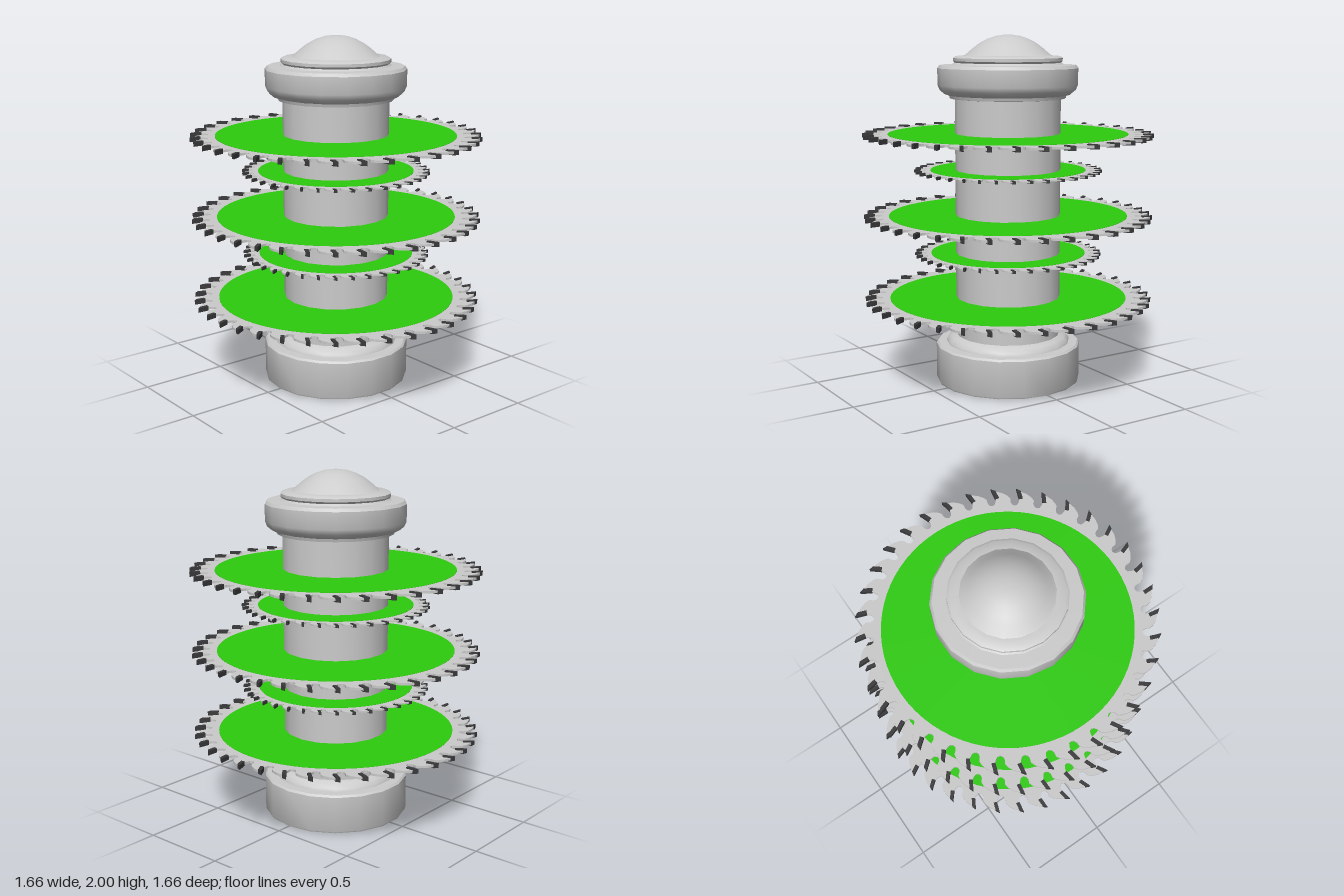
import * as THREE from 'three';
import { mergeGeometries, toCreasedNormals } from 'three/addons/utils/BufferGeometryUtils.js';

const TEETH = 36;
const STEP = (Math.PI * 2) / TEETH;

const makeMaterial = (name, color) => {
  const m = new THREE.MeshStandardMaterial({ color });
  m.name = name;
  return m;
};

// Place a tooth-local point (sideways offset, radius) on tooth i, counted clockwise from the back
function onTooth(i, [u, r], s) {
  const a = Math.PI / 2 - i * STEP - u / 0.8;
  return new THREE.Vector2(Math.cos(a) * r * s, Math.sin(a) * r * s);
}

// Flat horizontal slab centred on y = 0
function slab(points, thickness) {
  const g = new THREE.ExtrudeGeometry(new THREE.Shape(points), { depth: thickness, bevelEnabled: false });
  g.translate(0, 0, -thickness / 2);
  g.rotateX(-Math.PI / 2);
  return g;
}

function sawBlade(name, scale, mats) {
  const blade = new THREE.Group();
  blade.name = name;
  const thickness = 0.013 * scale;

  // Outline of one tooth: sloping back of the previous tooth, rounded gullet, cutting face
  const tooth = [
    [-0.105, 0.803], [-0.075, 0.785], [-0.058, 0.768], [-0.056, 0.745], [-0.046, 0.73],
    [-0.03, 0.725], [-0.014, 0.732], [-0.007, 0.75], [-0.005, 0.768], [0.01, 0.775], [-0.002, 0.815],
  ];
  // Slanted cutting tip
  const tip = [[-0.027, 0.828], [-0.002, 0.817], [0.015, 0.772], [-0.006, 0.766]];

  const outline = [];
  const tips = [];
  for (let i = 0; i < TEETH; i++) {
    outline.push(...tooth.map((p) => onTooth(i, p, scale)));
    tips.push(slab(tip.map((p) => onTooth(i, p, scale)), 0.026 * scale));
  }
  const plate = new THREE.Mesh(slab(outline, thickness), mats.steel);
  plate.name = 'bladePlate';
  const cutters = new THREE.Mesh(mergeGeometries(tips), mats.carbide);
  cutters.name = 'cuttingTips';

  // Painted disc showing on both faces
  const paint = new THREE.Mesh(
    new THREE.CylinderGeometry(0.685 * scale, 0.685 * scale, thickness + 0.003, 72), mats.green);
  paint.name = 'paintedDisc';
  blade.add(plate, cutters, paint);
  return blade;
}

function turned(name, profile, material) {
  const points = profile.map(([r, y]) => new THREE.Vector2(r, y));
  const mesh = new THREE.Mesh(toCreasedNormals(new THREE.LatheGeometry(points, 18), 0.6), material);
  mesh.name = name;
  return mesh;
}

export function createModel() {
  const model = new THREE.Group();
  model.name = 'bladedPost';
  const mats = {
    steel: makeMaterial('steelGrey', 0xcbcbcb),
    green: makeMaterial('bladeGreen', 0x2ecc0e),
    carbide: makeMaterial('tipDarkGrey', 0x3a3a3c),
  };

  // Post
  model.add(turned('base', [
    [0, 0], [0.415, 0], [0.42, 0.01], [0.42, 0.215], [0.41, 0.226], [0.36, 0.228],
    [0.355, 0.243], [0.335, 0.262], [0.3, 0.275],
  ], mats.steel));
  model.add(turned('column', [[0.302, 0.26], [0.302, 1.645]], mats.steel));
  model.add(turned('cap', [
    [0.3, 1.642], [0.33, 1.645], [0.335, 1.662], [0.36, 1.668], [0.387, 1.69], [0.4, 1.72],
    [0.4, 1.815], [0.388, 1.832], [0.315, 1.835], [0.303, 1.845], [0.311, 1.855],
    [0.311, 1.872], [0.295, 1.882], [0.245, 1.886],
  ], mats.steel));
  model.add(turned('dome', [
    [0.25, 1.884], [0.232, 1.897], [0.2, 1.925], [0.16, 1.955], [0.115, 1.979],
    [0.07, 1.994], [0.03, 2], [0, 2],
  ], mats.steel));

  // Large and small blades alternate up the post
  [0.487, 0.749, 0.969, 1.232, 1.438].forEach((y, i) => {
    const small = i % 2 === 1;
    const blade = sawBlade(small ? 'smallBlade' : 'largeBlade', small ? 0.65 : 1, mats);
    blade.position.y = y;
    model.add(blade);
  });
  return model;
}
